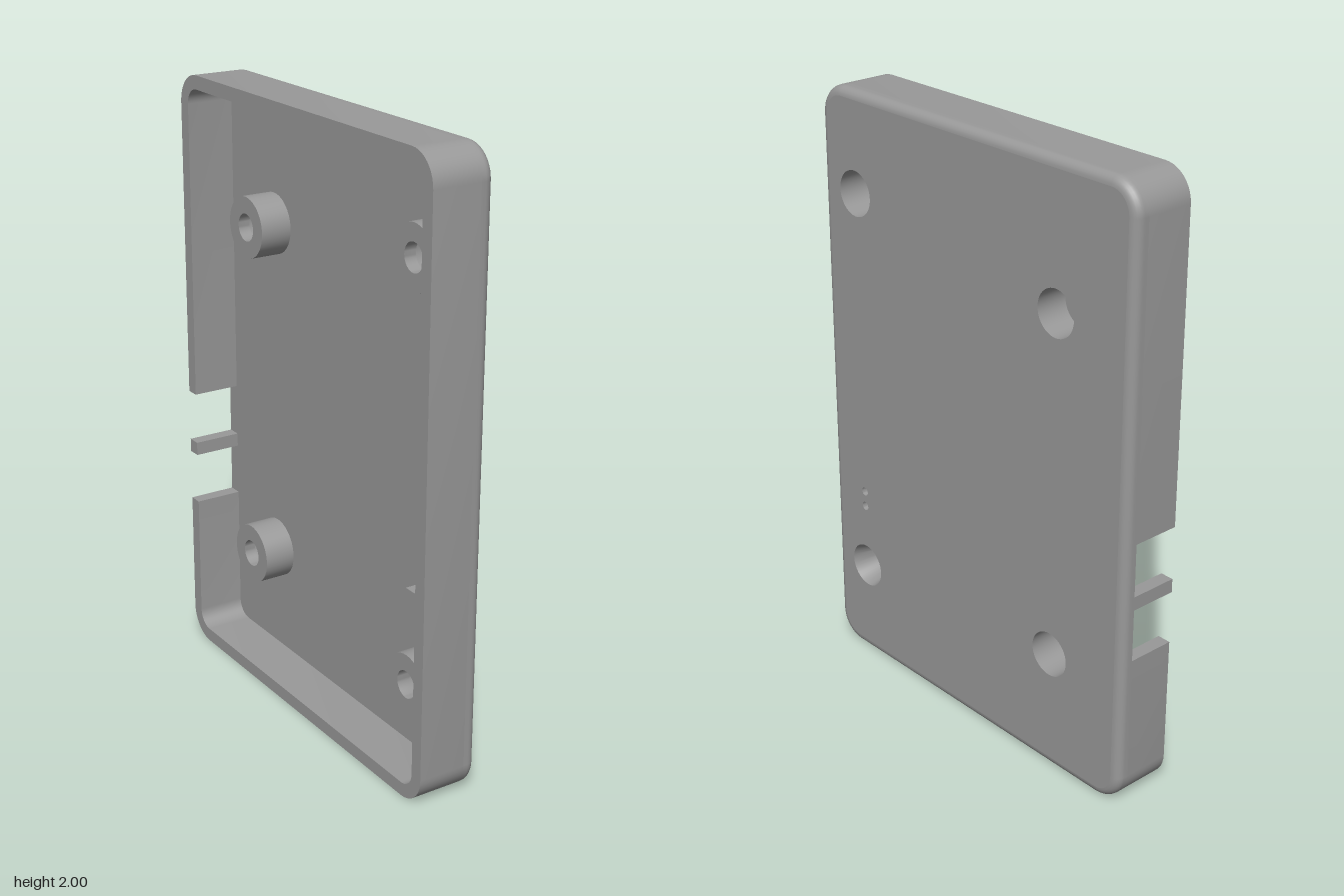
import * as THREE from 'three';
import { toCreasedNormals } from 'three/addons/utils/BufferGeometryUtils.js';

const HALF_U = 0.69, HEIGHT = 2, CORNER = 0.1, WALL = 0.045;
const RIM = -0.105, FLOOR = 0.055, FACE = 0.1, FILLET = 0.03;

// Rounded rectangle outline, counterclockwise from the upper end of the right edge
function outline(inset) {
  const pts = [], r = CORNER - inset, n = 10;
  const cu = HALF_U - CORNER, cv = HEIGHT / 2 - CORNER;
  [[1, 1], [-1, 1], [-1, -1], [1, -1]].forEach(([su, sv], q) => {
    for (let i = 0; i <= n; i++) {
      const a = (q + i / n) * Math.PI / 2;
      pts.push(new THREE.Vector2(su * cu + r * Math.cos(a), 1 + sv * cv + r * Math.sin(a)));
    }
  });
  return pts;
}

// Flat panel with round holes
function panel(inset, holes) {
  const shape = new THREE.Shape(outline(inset));
  for (const [u, v, r] of holes) {
    shape.holes.push(new THREE.Path().absarc(u, v, r, 0, Math.PI * 2, true));
  }
  return new THREE.ShapeGeometry(shape, 20);
}

// Edge band of the face plate, ending in a rounded fillet
function edgeBand() {
  const sections = [[FLOOR, 0]], steps = 6;
  for (let i = 0; i <= steps; i++) {
    const a = (i / steps) * Math.PI / 2;
    sections.push([FACE - FILLET + FILLET * Math.sin(a), FILLET * (1 - Math.cos(a))]);
  }
  const pos = [], idx = [];
  let n = 0;
  sections.forEach(([w, inset], s) => {
    const ring = outline(inset);
    n = ring.length;
    ring.forEach((p, i) => {
      pos.push(p.x, p.y, w);
      if (s === 0) return;
      const j = (i + 1) % n, lo = (s - 1) * n, hi = s * n;
      idx.push(lo + i, lo + j, hi + j, lo + i, hi + j, hi + i);
    });
  });
  const geo = new THREE.BufferGeometry();
  geo.setAttribute('position', new THREE.Float32BufferAttribute(pos, 3));
  geo.setIndex(idx);
  geo.computeVertexNormals();
  return geo;
}

// Turned part along the depth axis from [radius, depth] pairs
function turned(profile) {
  const geo = new THREE.LatheGeometry(profile.map(([r, w]) => new THREE.Vector2(r, w)), 40);
  geo.rotateX(Math.PI / 2);
  return toCreasedNormals(geo, 0.5);
}

export function createModel() {
  const model = new THREE.Group();
  model.name = 'enclosureHalf';
  const grey = new THREE.MeshStandardMaterial({ color: 0x999999 });
  grey.name = 'grey plastic';

  // Built face-on, then turned so the outer face points to +x
  const body = new THREE.Group();
  body.name = 'caseBody';
  body.rotation.y = Math.PI / 2;
  model.add(body);
  const add = (name, geo, u = 0, v = 0, w = 0) => {
    const mesh = new THREE.Mesh(geo, grey);
    mesh.name = name;
    mesh.position.set(u, v, w);
    body.add(mesh);
    return mesh;
  };

  const screws = [[-0.53, 1.67], [-0.53, 0.335], [0.385, 1.545], [0.38, 0.41]];
  const lights = [[-0.53, 0.62], [-0.53, 0.565]];
  const bore = 0.045, head = 0.075, bossR = 0.1, bossEnd = -0.05, seat = -0.01, lightR = 0.015;
  const holes = [...screws.map(([u, v]) => [u, v, head]), ...lights.map(([u, v]) => [u, v, lightR])];

  // Face plate: outer face, inner floor and rounded edge
  add('outerFace', panel(FILLET, holes), 0, 0, FACE);
  const floor = panel(0, holes);
  floor.index.array.reverse();
  floor.attributes.normal.array.forEach((x, i, arr) => { arr[i] = -x; });
  add('innerFloor', floor, 0, 0, FLOOR);
  add('faceEdge', edgeBand());

  // Side wall, open at the connector notch
  const top = 0.91, bottom = 0.515, inner = HALF_U - WALL;
  const P = (u, v) => new THREE.Vector2(u, v);
  const wallShape = new THREE.Shape([
    P(HALF_U, top), ...outline(0), P(HALF_U, bottom),
    P(inner, bottom), ...outline(WALL).reverse(), P(inner, top),
  ]);
  const wall = new THREE.ExtrudeGeometry(wallShape, { depth: FLOOR - RIM, bevelEnabled: false });
  add('sideWall', toCreasedNormals(wall, 0.5), 0, 0, RIM);

  // Tongue dividing the notch
  add('notchTongue', new THREE.BoxGeometry(WALL, 0.045, FLOOR - RIM),
    HALF_U - WALL / 2, 0.712, (FLOOR + RIM) / 2);

  // Screw bosses; the lower front one has a tapered recess
  screws.forEach(([u, v], i) => {
    const recess = i === 1 ? [[head, FACE], [bore, seat]] : [[head, FACE], [head, seat], [bore, seat]];
    add('screwBoss', turned([...recess, [bore, bossEnd], [bossR, bossEnd], [bossR, FLOOR]]), u, v);
  });

  // Indicator holes and the rib between them
  lights.forEach(([u, v]) => add('indicatorHole', turned([[lightR, FACE], [lightR, FLOOR]]), u, v));
  add('indicatorRib', new THREE.BoxGeometry(0.2, 0.015, 0.04), -0.53, 0.593, FLOOR - 0.02);

  return model;
}
